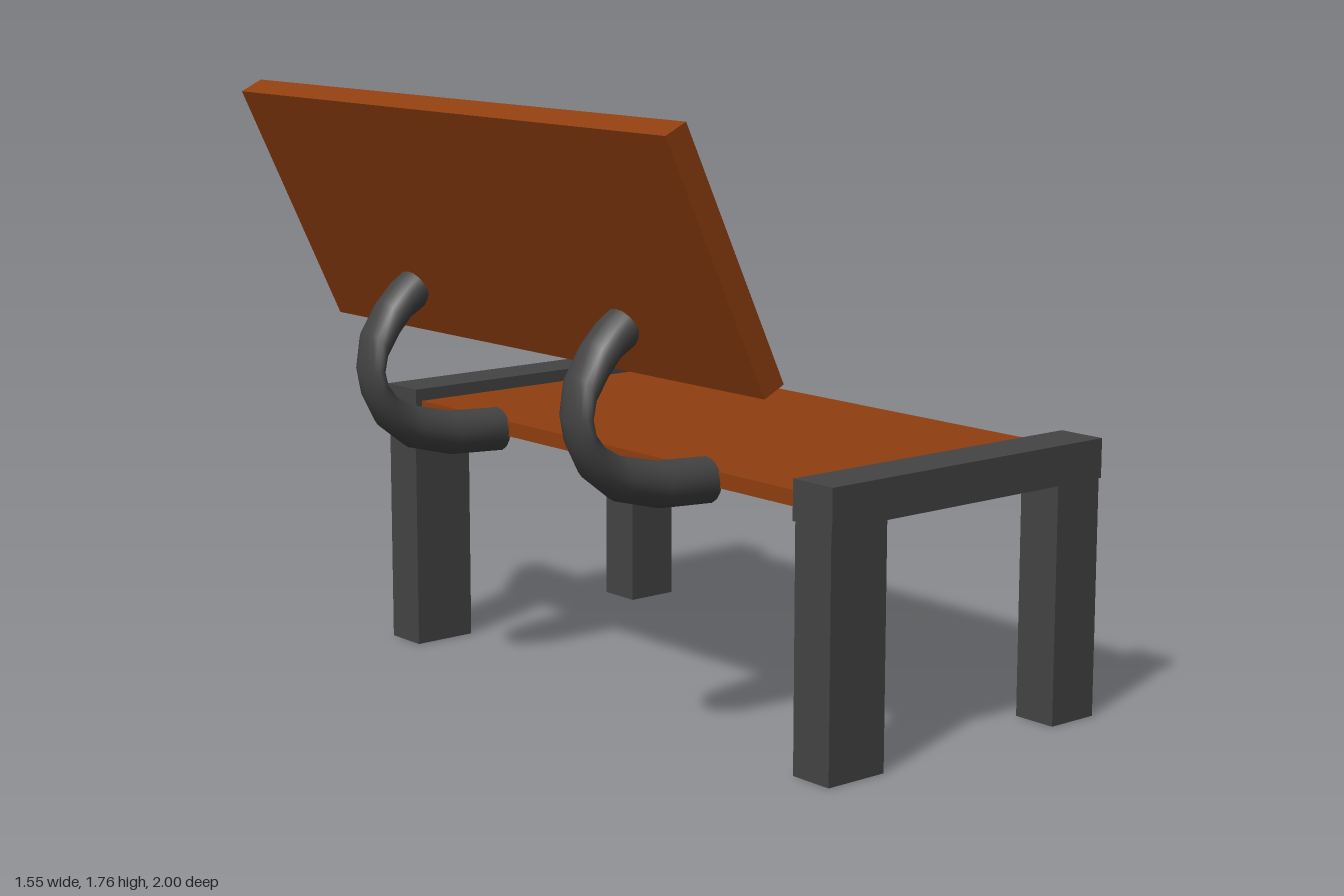
import * as THREE from 'three';

const wood = new THREE.MeshStandardMaterial({ color: 0x8f3e0f });
const metal = new THREE.MeshStandardMaterial({ color: 0x444444 });

// Box given by its x, y and z limits
function box(name, material, [x0, x1], [y0, y1], [z0, z1]) {
  const mesh = new THREE.Mesh(new THREE.BoxGeometry(x1 - x0, y1 - y0, z1 - z0), material);
  mesh.position.set((x0 + x1) / 2, (y0 + y1) / 2, (z0 + z1) / 2);
  mesh.name = name;
  return mesh;
}

// Curved bracket: oval rings spanning an outer and an inner outline
function bracketGeometry(radius) {
  const outer = [[-0.23, 0.67], [-0.40, 0.68], [-0.55, 0.72], [-0.64, 0.79], [-0.685, 0.88],
    [-0.70, 0.96], [-0.685, 1.07], [-0.63, 1.155], [-0.575, 1.21], [-0.515, 1.25]];
  const inner = [[-0.23, 0.80], [-0.40, 0.81], [-0.53, 0.84], [-0.60, 0.88], [-0.64, 0.925],
    [-0.65, 0.96], [-0.64, 0.99], [-0.60, 1.05], [-0.56, 1.095], [-0.515, 1.12]];
  const sides = 16, last = outer.length - 1;
  const pos = [], index = [];
  const ring = (i) => {
    const start = pos.length / 3;
    const [ox, oy] = outer[i], [ix, iy] = inner[i];
    for (let j = 0; j < sides; j++) {
      const a = (j / sides) * Math.PI * 2, t = (1 + Math.cos(a)) / 2;
      pos.push(ix + (ox - ix) * t, iy + (oy - iy) * t, radius * Math.sin(a));
    }
    return start;
  };
  for (let i = 0; i <= last; i++) ring(i);
  for (let i = 0; i < last; i++) {
    for (let j = 0; j < sides; j++) {
      const k = (j + 1) % sides, p = i * sides, q = p + sides;
      index.push(p + j, p + k, q + j, p + k, q + k, q + j);
    }
  }
  // flat end caps with their own vertices
  const start = ring(0), end = ring(last);
  for (let j = 1; j < sides - 1; j++) {
    index.push(start, start + j + 1, start + j, end, end + j, end + j + 1);
  }
  const geometry = new THREE.BufferGeometry();
  geometry.setAttribute('position', new THREE.Float32BufferAttribute(pos, 3));
  geometry.setIndex(index);
  geometry.computeVertexNormals();
  return geometry;
}

export function createModel() {
  const bench = new THREE.Group();
  bench.name = 'bench';

  // Seat board
  bench.add(box('seat', wood, [-0.235, 0.748], [0.722, 0.766], [-0.86, 0.86]));

  // Tilted backrest board
  const backrest = new THREE.Mesh(new THREE.BoxGeometry(0.072, 0.753, 1.915), wood);
  backrest.position.set(-0.585, 1.405, 0);
  backrest.rotation.z = 0.446;
  backrest.name = 'backrest';
  bench.add(backrest);

  // End frames and backrest brackets, one of each per side
  const bracketShape = bracketGeometry(0.065);
  for (const s of [1, -1]) {
    const span = (a, b) => (s > 0 ? [a, b] : [-b, -a]);
    const frame = new THREE.Group();
    frame.name = s > 0 ? 'endFrameFront' : 'endFrameBack';
    frame.add(
      box('rail', metal, [-0.257, 0.772], [0.69, 0.803], span(0.85, 1)),
      box('wideLeg', metal, [-0.255, -0.055], [0, 0.7], span(0.858, 0.995)),
      box('narrowLeg', metal, [0.602, 0.768], [0, 0.7], span(0.858, 0.995))
    );
    const bracket = new THREE.Mesh(bracketShape, metal);
    bracket.position.z = s * 0.473;
    bracket.name = 'backrestBracket';
    bench.add(frame, bracket);
  }
  return bench;
}
